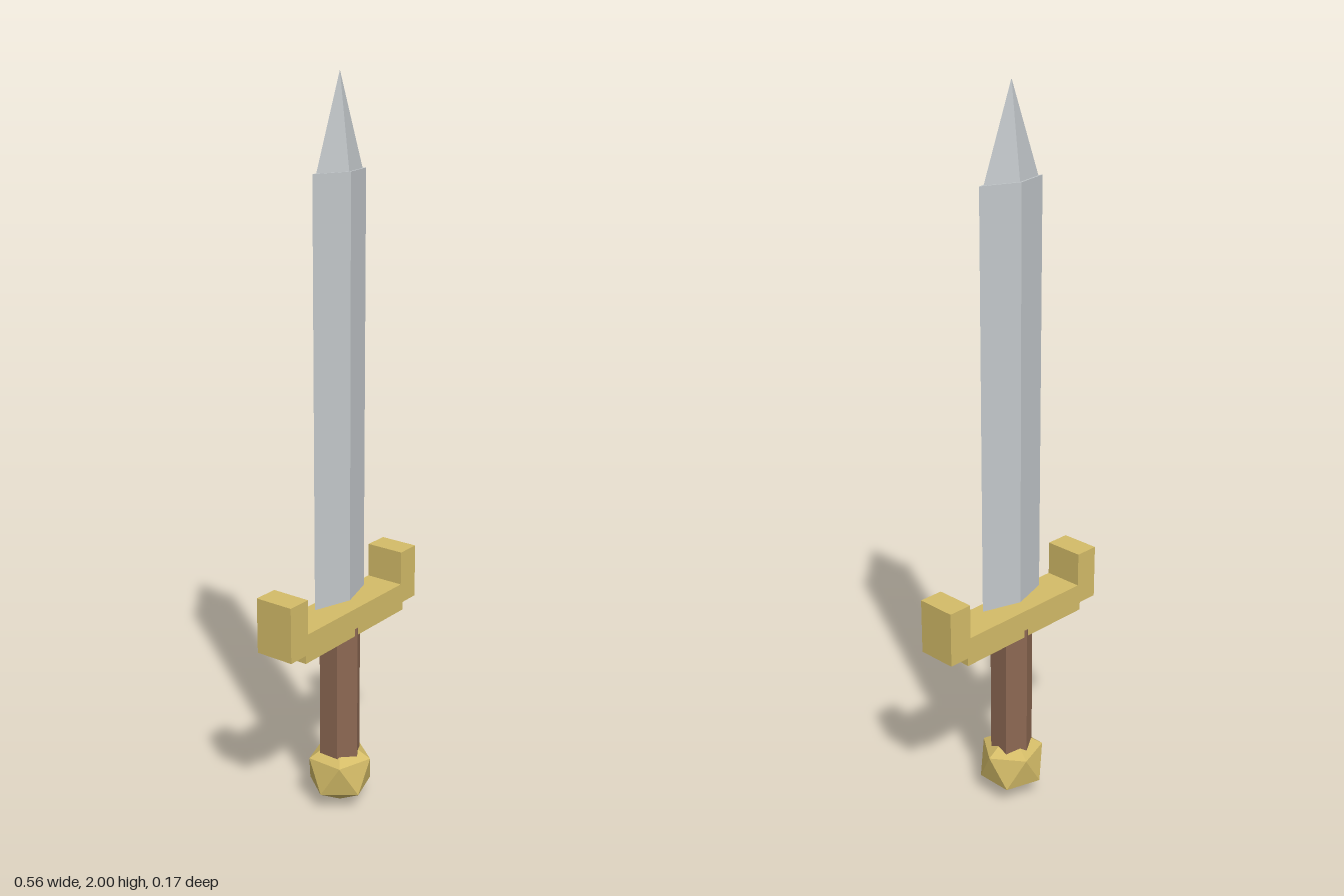
import * as THREE from 'three';

const flat = (name, color) => {
  const m = new THREE.MeshStandardMaterial({ color, flatShading: true });
  m.name = name;
  return m;
};

export function createModel() {
  const steel = flat('steel', 0xc3c8cb);
  const gold = flat('gold', 0xd4bc68);
  const leather = flat('leather', 0x8c6852);

  const model = new THREE.Group();
  model.name = 'sword';

  const add = (name, geometry, material, x, y) => {
    const mesh = new THREE.Mesh(geometry, material);
    mesh.name = name;
    mesh.position.set(x, y, 0);
    model.add(mesh);
  };

  // Four-sided steel section with a diamond footprint
  const diamond = (top, halfX, halfZ, height) =>
    new THREE.CylinderGeometry(top, 1, height, 4).scale(halfX, 1, halfZ);

  // Blade and its slightly narrower point
  add('blade', diamond(1, 0.11, 0.034, 1.138), steel, 0, 1.191);
  add('bladeTip', diamond(0, 0.095, 0.029, 0.24), steel, 0, 1.88);

  // Crossguard with an upturned block at each end
  add('guardBar', new THREE.BoxGeometry(0.44, 0.08, 0.112), gold, 0, 0.564);
  for (const [side, name] of [[1, 'leftGuardEnd'], [-1, 'rightGuardEnd']]) {
    add(name, new THREE.BoxGeometry(0.07, 0.153, 0.112), gold, side * 0.245, 0.6235);
  }

  // Hexagonal grip with corners facing front and back
  add('grip', new THREE.CylinderGeometry(0.06, 0.06, 0.405, 6), leather, 0, 0.3425);

  // Faceted pommel, turned so one corner points straight down
  const pommel = new THREE.IcosahedronGeometry(0.1, 0);
  pommel.rotateZ(-Math.atan(2 / (1 + Math.sqrt(5))));
  add('pommel', pommel, gold, 0, 0.1);

  return model;
}
